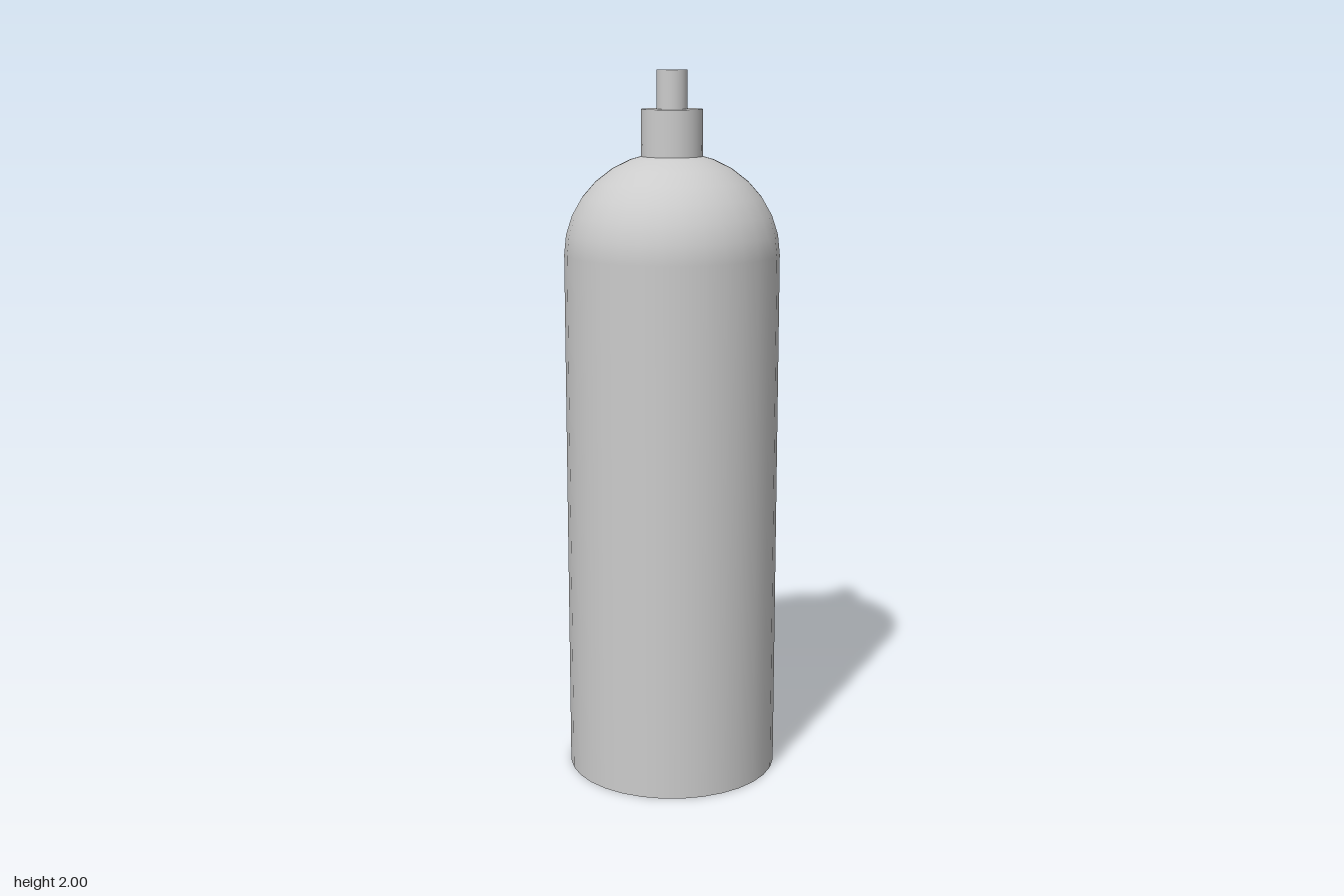
import * as THREE from 'three';

const SIDES = 32;

export function createModel() {
  const group = new THREE.Group();
  const material = new THREE.MeshStandardMaterial({ color: 0xcccccc });

  const add = (name, geometry, y) => {
    const mesh = new THREE.Mesh(geometry, material);
    mesh.name = name;
    mesh.position.y = y;
    group.add(mesh);
    return mesh;
  };

  // Upright cylinder standing on height y0
  const addCylinder = (name, radius, y0, y1, open = false) =>
    add(name, new THREE.CylinderGeometry(radius, radius, y1 - y0, SIDES, 1, open), (y0 + y1) / 2);

  // Tank: open wall, flat base and slightly flattened dome
  addCylinder('tankWall', 0.3, 0, 1.5, true);
  add('tankBase', new THREE.CircleGeometry(0.3, SIDES).rotateX(Math.PI / 2), 0);
  const dome = new THREE.SphereGeometry(0.3, SIDES, 8, 0, Math.PI * 2, 0, Math.PI / 2);
  add('tankShoulder', dome.scale(1, 0.28 / 0.3, 1), 1.5);

  // Neck collar and valve stem
  addCylinder('neckCollar', 0.085, 1.762, 1.895);
  addCylinder('valveStem', 0.042, 1.895, 2);

  return group;
}
